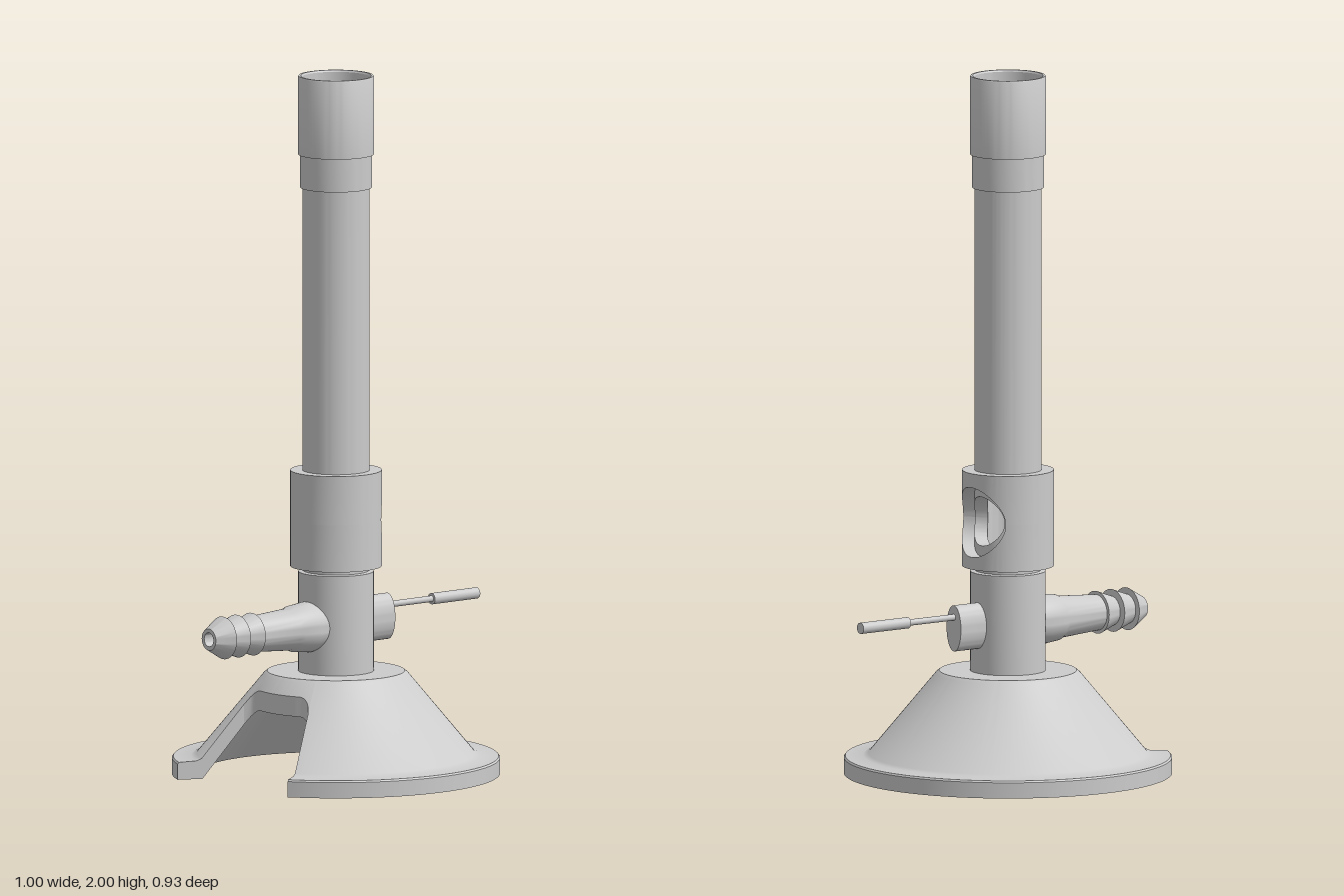
import * as THREE from 'three';
import { toCreasedNormals } from 'three/addons/utils/BufferGeometryUtils.js';

const material = new THREE.MeshStandardMaterial({ color: 0xcccccc, side: THREE.DoubleSide });
const rad = THREE.MathUtils.degToRad;

function part(parent, name, geometry) {
  const mesh = new THREE.Mesh(geometry, material);
  mesh.name = name;
  parent.add(mesh);
  return mesh;
}

function lathe(points, segments = 64) {
  const g = new THREE.LatheGeometry(points.map(([r, y]) => new THREE.Vector2(r, y)), segments);
  return toCreasedNormals(g, 0.5);
}

// Sweep a closed (radius, height) section around the vertical axis; each column may differ
function sweep(columns) {
  const pos = [], index = [], n = columns[0].section.length;
  for (const { angle, section } of columns)
    for (const [r, y] of section) pos.push(r * Math.cos(angle), y, r * Math.sin(angle));
  for (let i = 0; i < columns.length - 1; i++)
    for (let j = 0; j < n; j++) {
      const a = i * n + j, b = i * n + (j + 1) % n;
      index.push(a, b, a + n, b, b + n, a + n);
    }
  const g = new THREE.BufferGeometry();
  g.setAttribute('position', new THREE.Float32BufferAttribute(pos, 3));
  g.setIndex(index);
  return toCreasedNormals(g, 0.5);
}

// Tube wall with a round air hole facing +x, made as an upper and a lower half
function holedSleeve(parent, name, outer, inner, y0, y1, holeY, hole) {
  const columns = [];
  for (let i = 0; i <= 32; i++) {
    const phi = -Math.PI / 2 + Math.PI * i / 32;
    columns.push([Math.asin(hole * Math.sin(phi) / outer), hole * Math.cos(phi)]);
  }
  const edge = Math.asin(hole / outer);
  for (let i = 1; i <= 48; i++) columns.push([edge + (2 * Math.PI - 2 * edge) * i / 48, 0]);
  const half = (lo, hi) => sweep(columns.map(([angle, h]) => {
    const a = lo(h), b = hi(h);
    return { angle, section: [[inner, a], [outer, a], [outer, b], [inner, b]] };
  }));
  part(parent, name + 'Lower', half(() => y0, h => holeY - h));
  part(parent, name + 'Upper', half(h => holeY + h, () => y1));
}

// Conical hollow foot with a notch on the hose side
function addBase(parent) {
  const base = new THREE.Group();
  base.name = 'base';
  parent.add(base);
  const start = Math.PI - rad(32.5), end = Math.PI + rad(25);
  const full = [
    [0, 0.262], [0.18, 0.262], [0.392, 0], [0.465, 0], [0.465, 0.045], [0.461, 0.05],
    [0.41, 0.052], [0.395, 0.058], [0.205, 0.287], [0.195, 0.295], [0, 0.295]
  ];
  const main = [];
  for (let i = 0; i <= 100; i++)
    main.push({ angle: end + (2 * Math.PI + start - end) * i / 100, section: full });
  part(base, 'cone', sweep(main));

  // Inner end of the notch, with rounded corners
  const notch = [], corner = rad(9);
  for (let i = 0; i <= 48; i++) {
    const angle = start + (end - start) * i / 48;
    const u = Math.max(0, 1 - Math.min(angle - start, end - angle) / corner);
    const r = 0.235 + 0.035 * (1 - Math.sqrt(Math.max(0, 1 - u * u)));
    const bottom = 0.262 - (r - 0.18) * 0.262 / 0.212;
    const top = 0.287 - (r - 0.205) * 0.229 / 0.19;
    notch.push({ angle, section: [
      [0, 0.262], [0.18, 0.262], [r, bottom], [r, top], [0.205, 0.287], [0.195, 0.295], [0, 0.295]
    ] });
  }
  part(base, 'notchEnd', sweep(notch));

  // Cut faces of the notch
  for (const angle of [start, end]) {
    const shape = new THREE.Shape(full.map(([r, y]) => new THREE.Vector2(r, y)));
    part(base, 'notchSide', new THREE.ShapeGeometry(shape).rotateY(-angle));
  }
}

// Burner head with a recessed plate pierced by a ring of flame holes
function addHead(parent) {
  part(parent, 'head', lathe([
    [0.09, 1.68], [0.102, 1.68], [0.102, 1.775], [0.108, 1.775], [0.108, 1.996],
    [0.106, 2], [0.1, 2], [0.097, 1.995], [0.097, 1.9]
  ]));
  const plate = new THREE.Shape().absarc(0, 0, 0.0975, 0, Math.PI * 2);
  plate.holes.push(new THREE.Path().absarc(0, 0, 0.047, 0, Math.PI * 2, true));
  const count = 36;
  for (let i = 0; i < count; i++) {
    const a = i / count * Math.PI * 2;
    plate.holes.push(new THREE.Path().absarc(0.08 * Math.cos(a), 0.08 * Math.sin(a), 0.0055, 0, Math.PI * 2, true));
  }
  const g = new THREE.ExtrudeGeometry(plate, { depth: 0.04, bevelEnabled: false, curveSegments: 16 });
  part(parent, 'flamePlate', toCreasedNormals(g.rotateX(-Math.PI / 2), 0.6)).position.y = 1.92;
}

// Barbed hose connector pointing to -x
function addHoseBarb(parent) {
  const profile = [
    [0, 0.05], [0.066, 0.05], [0.072, 0.11], [0.066, 0.165], [0.06, 0.178], [0.051, 0.313]
  ];
  for (const x of [0.313, 0.368, 0.42]) profile.push([0.061, x], [x > 0.4 ? 0.031 : 0.042, x + 0.053]);
  profile.push([0.02, 0.473], [0.02, 0.4], [0, 0.4]);
  const barb = part(parent, 'hoseBarb', lathe(profile, 48));
  barb.rotation.z = Math.PI / 2;
  barb.position.y = 0.43;
}

// Gas valve: oval boss, thin stem and handle pointing to +x
function addValve(parent) {
  const oval = new THREE.Shape().absellipse(0, 0, 0.034, 0.066, 0, Math.PI * 2);
  const boss = new THREE.ExtrudeGeometry(oval, { depth: 0.132, bevelEnabled: false, curveSegments: 24 });
  part(parent, 'valveBoss', toCreasedNormals(boss.rotateY(Math.PI / 2), 0.6)).position.set(0.06, 0.432, 0);
  for (const [name, r, x0, x1] of [['valveStem', 0.009, 0.17, 0.37], ['valveHandle', 0.016, 0.355, 0.523]]) {
    const rod = part(parent, name, new THREE.CylinderGeometry(r, r, x1 - x0, 24));
    rod.rotation.z = Math.PI / 2;
    rod.position.set((x0 + x1) / 2, 0.464, 0);
  }
}

export function createModel() {
  const model = new THREE.Group();
  model.name = 'gasBurner';
  const burner = new THREE.Group();
  burner.name = 'burner';
  burner.position.x = -0.027;
  model.add(burner);

  addBase(burner);
  part(burner, 'body', lathe([[0, 0.28], [0.107, 0.28], [0.107, 0.58], [0.093, 0.582], [0.093, 0.6], [0, 0.6]]));
  part(burner, 'gasJet', lathe([[0.047, 0.6], [0.047, 0.61], [0.017, 0.615], [0.017, 0.635], [0, 0.635]], 32));
  holedSleeve(burner, 'barrel', 0.095, 0.058, 0.59, 1.8, 0.73, 0.07);
  holedSleeve(burner, 'airCollar', 0.13, 0.0955, 0.595, 0.87, 0.73, 0.1);
  addHead(burner);
  addHoseBarb(burner);
  addValve(burner);
  return model;
}
